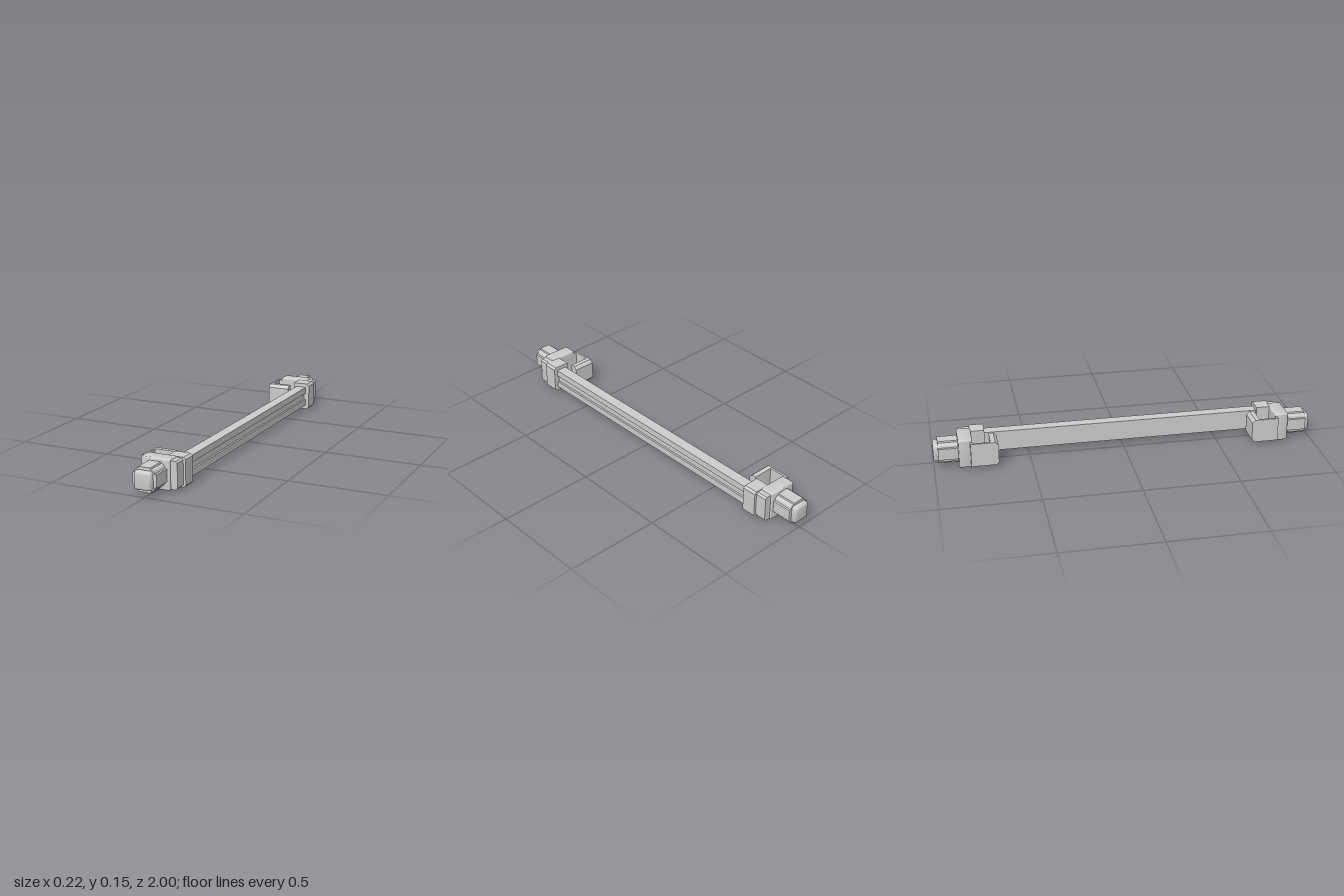
import * as THREE from 'three';
import { RoundedBoxGeometry } from 'three/addons/geometries/RoundedBoxGeometry.js';
import { toCreasedNormals } from 'three/addons/utils/BufferGeometryUtils.js';

const MID = 0.077; // height of the horizontal symmetry plane
const material = new THREE.MeshStandardMaterial({ color: 0xcccccc });

function add(group, name, geometry) {
  const mesh = new THREE.Mesh(toCreasedNormals(geometry, 0.5), material);
  mesh.name = name;
  group.add(mesh);
  return mesh;
}

// Extrudes an x-y outline from z0 to z1
function prism(points, z0, z1) {
  const shape = new THREE.Shape(points.map(([x, y]) => new THREE.Vector2(x, y)));
  return new THREE.ExtrudeGeometry(shape, { depth: z1 - z0, bevelEnabled: false }).translate(0, 0, z0);
}

function roundedBox(x0, x1, halfY, z0, z1, radius) {
  return new RoundedBoxGeometry(x1 - x0, halfY * 2, z1 - z0, 3, radius)
    .translate((x0 + x1) / 2, 0, (z0 + z1) / 2);
}

// Block whose two outer (+x) edges are chamfered
function clampBlock(x0, x1, h, z0, z1, c) {
  return prism([[x0, -h], [x1 - c, -h], [x1, -h + c], [x1, h - c], [x1 - c, h], [x0, h]], z0, z1);
}

// One end fitting, built around y = 0 and facing +z
function createEnd() {
  const end = new THREE.Group();
  const cx = -0.0115;

  // Collar and clamp around the bar
  add(end, 'collar', roundedBox(-0.088, 0.065, MID, 0.8, 0.873, 0.008));
  add(end, 'clampFront', clampBlock(0.02, 0.1, 0.07, 0.795, 0.865, 0.009));
  add(end, 'clampRear', clampBlock(0.02, 0.112, 0.074, 0.73, 0.805, 0.011));

  // Knob shaft with stepped corners, and its rounded tip
  const corner = [[0.062, 0.031], [0.053, 0.033], [0.05, 0.044], [0.044, 0.05], [0.033, 0.053], [0.031, 0.061]];
  const back = [...corner].reverse();
  const outline = [
    ...corner,
    ...back.map(([x, y]) => [-x, y]),
    ...corner.map(([x, y]) => [-x, -y]),
    ...back.map(([x, y]) => [x, -y]),
  ].map(([x, y]) => [x + cx, y]);
  add(end, 'knobShaft', prism(outline, 0.86, 0.975));
  add(end, 'knobTip', roundedBox(cx - 0.046, cx + 0.046, 0.046, 0.93, 1, 0.014));

  // Open hook: back plate, thin side wall and chamfered free arm
  const h = 0.063;
  const plate = (x0, x1, z0, z1) => prism([[x0, -h], [x1, -h], [x1, h], [x0, h]], z0, z1);
  add(end, 'hookBack', plate(-0.112, 0.03, 0.8, 0.812));
  const wall = [[0.67, -h + 0.016], [0.686, -h], [0.805, -h], [0.805, h], [0.686, h], [0.67, h - 0.016]];
  const arm = [[0.67, -h + 0.016], [0.686, -h], [0.71, -h], [0.71, h], [0.686, h], [0.67, h - 0.016]];
  // Profiles drawn in z-y, extruded along x
  const sideways = (profile, x0, x1) =>
    prism(profile.map(([z, y]) => [-z, y]).reverse(), x0, x1).rotateY(Math.PI / 2);
  add(end, 'hookWall', sideways(wall, -0.112, -0.101));
  add(end, 'hookArm', sideways(arm, -0.105, 0.006));
  return end;
}

export function createModel() {
  const model = new THREE.Group();
  model.name = 'barWithEndFittings';

  // Long bar with a shallow groove along its outer face
  const bar = add(model, 'bar', prism([
    [0.035, -0.053], [0.092, -0.053], [0.092, -0.018], [0.082, -0.018],
    [0.082, 0.018], [0.092, 0.018], [0.092, 0.053], [0.035, 0.053],
  ], -0.8, 0.8));
  bar.position.y = MID;

  // Matching fittings; the half turn about x mirrors the front one
  ['frontEnd', 'backEnd'].forEach((name, i) => {
    const end = createEnd();
    end.name = name;
    end.position.y = MID;
    end.rotation.x = i * Math.PI;
    model.add(end);
  });
  return model;
}
